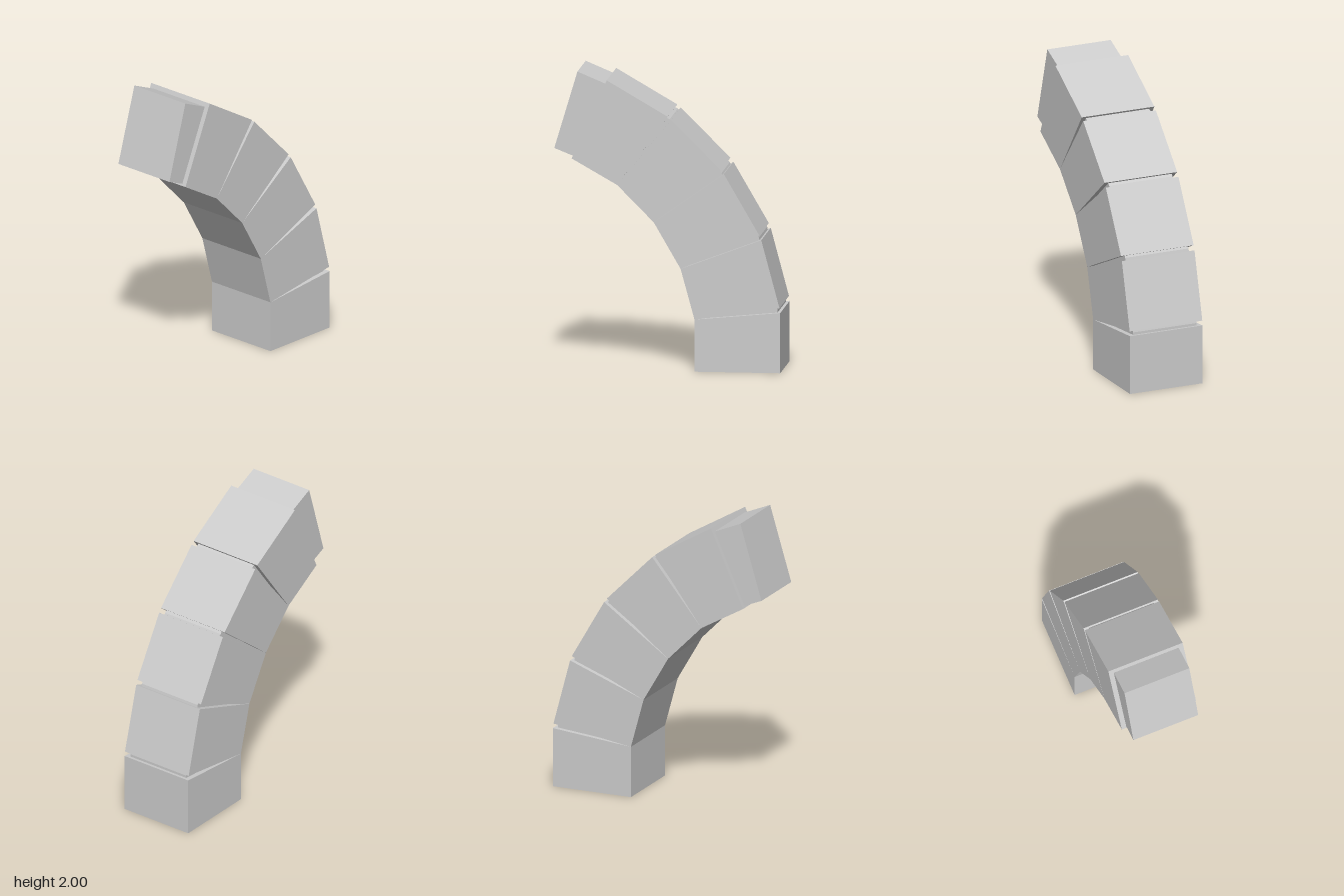
import * as THREE from 'three';

const material = new THREE.MeshStandardMaterial({ color: 0xcccccc, flatShading: true });

// Flat outline in x/y, extruded symmetrically about z = 0
function slab(name, points, depth) {
  const shape = new THREE.Shape(points.map(([x, y]) => new THREE.Vector2(x, y)));
  const geometry = new THREE.ExtrudeGeometry(shape, { depth, bevelEnabled: false });
  geometry.translate(0, 0, -depth / 2);
  const mesh = new THREE.Mesh(geometry, material);
  mesh.name = name;
  return mesh;
}

export function createModel() {
  const group = new THREE.Group();
  group.name = 'segmentedArm';

  // Hinge points along the inside of the bend
  const hinges = [[0.183, 0], [0.183, 0.35], [0.09, 0.69], [-0.09, 1.0], [-0.335, 1.247], [-0.64, 1.42]];
  // Outer start and end corner of each wedge block
  const outer = [
    [[0.757, 0], [0.757, 0.405]],
    [[0.752, 0.437], [0.63, 0.893]],
    [[0.617, 0.925], [0.38, 1.333]],
    [[0.36, 1.36], [0.027, 1.693]],
    [[0.005, 1.712], [-0.405, 1.95]],
  ];
  outer.forEach(([start, end], i) => {
    group.add(slab(`block${i + 1}`, [hinges[i], start, end, hinges[i + 1]], 0.534));
  });

  // Narrower core, seen in the gaps and projecting at the tip
  group.add(slab('core', [
    [0.19, 0.02], [0.735, 0.02], [0.735, 0.42], [0.61, 0.905], [0.36, 1.335], [0.012, 1.69],
    [-0.418, 1.922], [-0.605, 2.0], [-0.76, 1.483], [-0.64, 1.435],
    [-0.33, 1.26], [-0.082, 1.002], [0.098, 0.692], [0.19, 0.35],
  ], 0.466));

  return group;
}
